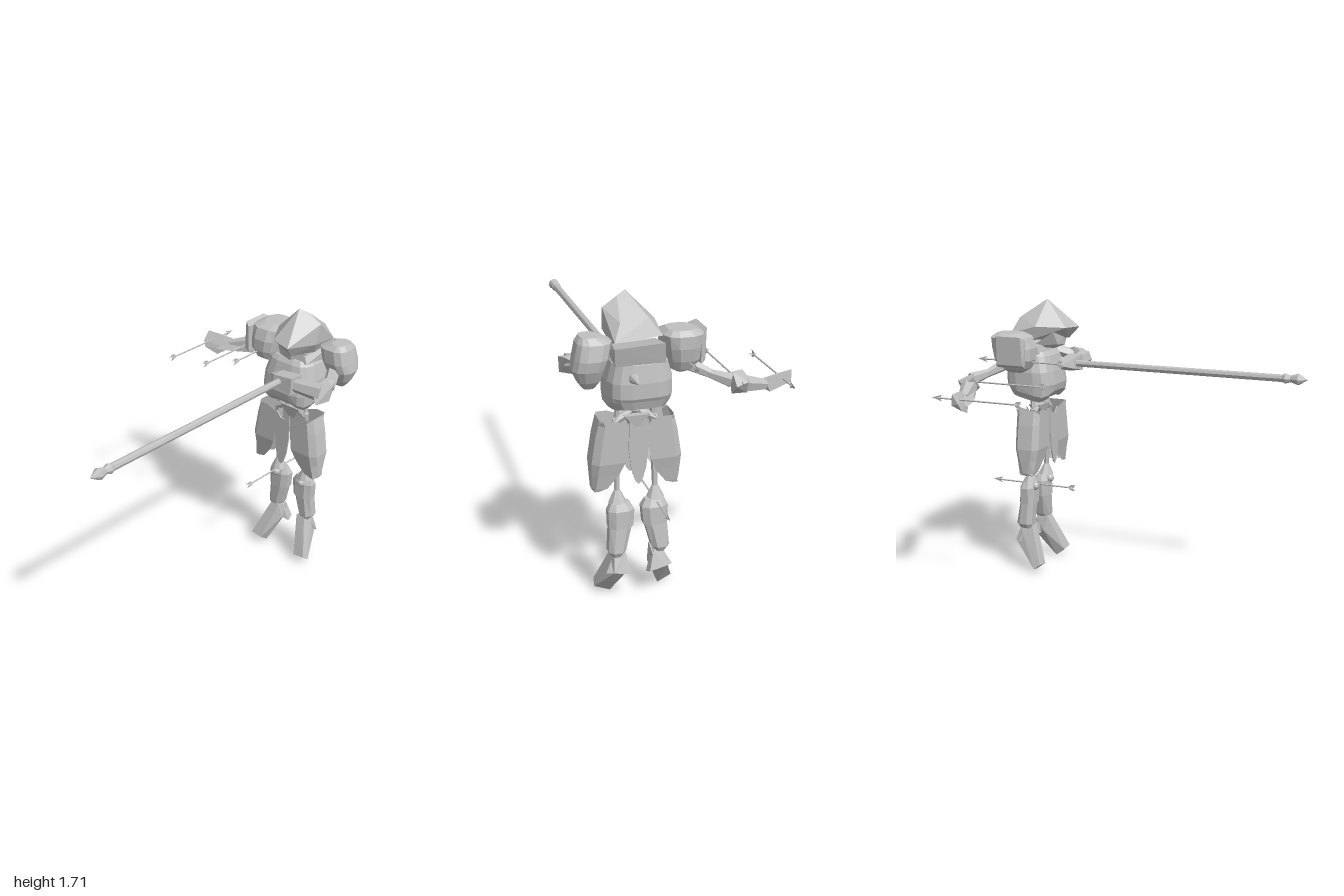
import * as THREE from 'three';
import { ConvexGeometry } from 'three/addons/geometries/ConvexGeometry.js';

const grey = new THREE.MeshStandardMaterial({ color: 0xc0c0c0, flatShading: true, side: THREE.DoubleSide });
grey.name = 'plainGrey';
const V = (p) => new THREE.Vector3(...p);

function add(parent, name, geometry) {
  const mesh = new THREE.Mesh(geometry, grey);
  mesh.name = name;
  parent.add(mesh);
  return mesh;
}
function group(parent, name) {
  const g = new THREE.Group();
  g.name = name;
  parent.add(g);
  return g;
}
const hull = (parent, name, pts) => add(parent, name, new ConvexGeometry(pts.map(V)));

// Tapered rod between two points
function limb(parent, name, a, b, ra, rb, sides = 6) {
  const A = V(a), B = V(b), d = B.clone().sub(A);
  const m = add(parent, name, new THREE.CylinderGeometry(rb, ra, d.length(), sides));
  m.position.copy(A).add(B).multiplyScalar(0.5);
  m.quaternion.setFromUnitVectors(new THREE.Vector3(0, 1, 0), d.normalize());
  return m;
}

// Skin over rings of equal point count
function loft(rings, closed = true) {
  const n = rings[0].length, pos = rings.flat(2), idx = [];
  for (let r = 0; r < rings.length - 1; r++) {
    for (let i = 0; i < (closed ? n : n - 1); i++) {
      const a = r * n + i, b = r * n + (i + 1) % n;
      idx.push(a, a + n, b, b, a + n, b + n);
    }
  }
  if (closed) {
    const e = (rings.length - 1) * n;
    for (let i = 1; i < n - 1; i++) idx.push(0, i, i + 1, e, e + i + 1, e + i);
  }
  const g = new THREE.BufferGeometry();
  g.setAttribute('position', new THREE.Float32BufferAttribute(pos, 3));
  g.setIndex(idx);
  const flat = g.toNonIndexed();
  flat.computeVertexNormals();
  return flat;
}

// Rounded-rectangle ring at height y
function ring([y, x0, x1, z0, z1], n = 12, power = 0.7) {
  const pts = [], f = (v) => Math.sign(v) * Math.abs(v) ** power;
  for (let i = 0; i < n; i++) {
    const t = ((i + 0.5) / n) * Math.PI * 2;
    pts.push([(x0 + x1) / 2 + f(Math.cos(t)) * (x1 - x0) / 2, y, (z0 + z1) / 2 - f(Math.sin(t)) * (z1 - z0) / 2]);
  }
  return pts;
}

function buildLeg(parent, name, s) {
  const leg = group(parent, name);
  leg.position.x = 0.222;
  leg.scale.x = s;
  limb(leg, 'hipStrut', [0.02, 1.07, -0.69], [0.11, 1.02, -0.69], 0.02, 0.025);
  limb(leg, 'thigh', [0.1, 1.04, -0.69], [0.105, 0.63, -0.715], 0.022, 0.015);
  limb(leg, 'kneeFlare', [0.105, 0.64, -0.715], [0.105, 0.57, -0.72], 0.016, 0.05, 8);
  const knee = add(leg, 'kneeJoint', new THREE.IcosahedronGeometry(0.028, 1));
  knee.position.set(0.1, 0.545, -0.69);
  // Wrapped hip guard, open towards the body
  const guard = [[1.05, 0.13, 0.2, 0], [1.025, 0.06, 0.206, 0], [0.96, 0.05, 0.222, 0], [0.81, 0.07, 0.245, 0],
    [0.74, 0.1, 0.243, 0.015], [0.66, 0.16, 0.24, 0.03], [0.645, 0.205, 0.235, 0.035]];
  add(leg, 'hipGuard', loft(guard.map(([y, i, o, t]) => {
    const f = -0.605 - t, b = -0.762 + t, m = o - (o - i) * 0.2;
    return [[i, y, f], [m, y, f], [o, y, f - 0.03], [o, y, b + 0.03], [m, y, b], [i, y, b]];
  }), false));
  // Shin armour
  add(leg, 'kneeCuff', loft([[0.575, 0.04, 0.15, -0.7, -0.765], [0.535, 0.016, 0.17, -0.685, -0.785],
    [0.435, 0.025, 0.166, -0.683, -0.79]].map((r) => ring(r, 8, 0.8))));
  add(leg, 'greave', loft([[0.45, 0.03, 0.163, -0.69, -0.785], [0.3, 0.07, 0.172, -0.695, -0.805],
    [0.27, 0.09, 0.15, -0.7, -0.79]].map((r) => ring(r, 8, 0.8))));
  // Drooping foot and heel
  hull(leg, 'foot', [[0.075, 0.29, -0.7], [0.135, 0.29, -0.7], [0.07, 0.27, -0.78], [0.14, 0.27, -0.78],
    [0.215, 0.06, -0.61], [0.138, 0.05, -0.61], [0.222, 0.03, -0.65], [0.138, 0.005, -0.67],
    [0.08, 0.19, -0.81], [0.15, 0.19, -0.81], [0.06, 0.19, -0.72]]);
  hull(leg, 'heel', [[0.08, 0.28, -0.74], [0.13, 0.28, -0.74], [0.08, 0.28, -0.78], [0.04, 0.15, -0.77],
    [0.05, 0.17, -0.815], [0.185, 0.18, -0.78], [0.14, 0.19, -0.815], [0.1, 0.2, -0.72]]);
}

function buildArrow(parent, x, y) {
  const a = group(parent, 'arrow');
  a.position.set(x, y, 0);
  limb(a, 'arrowShaft', [0, 0, -0.43], [0, 0, -0.95], 0.005, 0.005, 5);
  const head = new THREE.Shape([[-0.99, 0], [-0.92, 0.02], [-0.94, 0], [-0.92, -0.02]].map((p) => new THREE.Vector2(...p)));
  add(a, 'arrowHead', new THREE.ShapeGeometry(head)).rotation.y = -Math.PI / 2;
  const vane = new THREE.Shape([[-0.41, 0.02], [-0.425, 0], [-0.41, -0.02], [-0.44, -0.018], [-0.46, 0], [-0.44, 0.018]]
    .map((p) => new THREE.Vector2(...p)));
  for (const roll of [0, Math.PI / 2]) {
    const f = group(a, 'fletching');
    f.rotation.z = roll;
    add(f, 'vane', new THREE.ShapeGeometry(vane)).rotation.y = -Math.PI / 2;
  }
}

export function createModel() {
  const model = new THREE.Group();
  model.name = 'armouredFigure';

  // Rounded cuirass with a notched lower edge
  const body = [[1.40, 0.09, 0.35, -0.61, -0.84], [1.375, 0.07, 0.37, -0.59, -0.855], [1.28, 0.046, 0.394, -0.563, -0.87],
    [1.2, 0.046, 0.394, -0.55, -0.87], [1.125, 0.052, 0.388, -0.56, -0.86], [1.083, 0.08, 0.36, -0.595, -0.845]];
  add(model, 'cuirass', loft(body.map((r, k) => ring(r, 16, 0.6).map(([x, y, z]) => {
    const w = k > 3 ? 1 : 0;
    const notch = Math.max(0, 1 - Math.abs(x - 0.22) / 0.15) * 0.055;
    return [x, y + w * Math.max(notch, (-0.6 - z) * 0.22), z];
  }))));
  hull(model, 'collar', [[0.09, 1.39, -0.63], [0.35, 1.39, -0.63], [0.1, 1.44, -0.65], [0.33, 1.43, -0.64],
    [0.11, 1.38, -0.86], [0.37, 1.38, -0.86], [0.12, 1.49, -0.885], [0.38, 1.48, -0.885]]);

  // Bowed hood and face
  hull(model, 'hood', [[0.26, 1.71, -0.65], [0.31, 1.69, -0.68], [0.39, 1.64, -0.69], [0.385, 1.52, -0.66],
    [0.2, 1.545, -0.5], [0.33, 1.54, -0.468], [0.11, 1.555, -0.66], [0.115, 1.51, -0.83], [0.37, 1.5, -0.85],
    [0.18, 1.6, -0.8], [0.33, 1.59, -0.81], [0.31, 1.47, -0.53], [0.12, 1.47, -0.7], [0.35, 1.45, -0.7]]);
  hull(model, 'jaw', [[0.17, 1.52, -0.57], [0.31, 1.5, -0.54], [0.21, 1.44, -0.56], [0.29, 1.43, -0.55],
    [0.14, 1.43, -0.7], [0.33, 1.42, -0.7], [0.24, 1.41, -0.6]]);

  // Spine, pelvis and hanging plates
  for (let i = 0; i < 6; i++) {
    const v = add(model, 'vertebra', new THREE.CylinderGeometry(0.03, 0.022, 0.016, 8));
    v.position.set(0.222, 1.03 + i * 0.022, -0.7);
  }
  for (const s of [-1, 1]) limb(model, 'waistStrut', [0.222 + s * 0.09, 1.14, -0.7], [0.222 + s * 0.1, 1.03, -0.69], 0.015, 0.015);
  hull(model, 'pelvis', [[0.15, 1.06, -0.66], [0.29, 1.06, -0.66], [0.15, 1.06, -0.74], [0.29, 1.06, -0.74],
    [0.2, 0.98, -0.68], [0.245, 0.98, -0.68], [0.222, 0.98, -0.73]]);
  const leaf = new THREE.Shape([[-0.05, 1.04], [-0.015, 1.0], [0.015, 1.0], [0.05, 1.04], [0.053, 0.88], [0.04, 0.77],
    [0.018, 0.7], [0, 0.682], [-0.018, 0.7], [-0.04, 0.77], [-0.053, 0.88]].map((p) => new THREE.Vector2(...p)));
  for (const [name, z] of [['frontTasset', -0.606], ['backTasset', -0.768]]) {
    add(model, name, new THREE.ExtrudeGeometry(leaf, { depth: 0.008, bevelEnabled: false })).position.set(0.222, 0, z);
  }

  buildLeg(model, 'rightLeg', -1);
  buildLeg(model, 'leftLeg', 1);

  // Shoulder shells
  add(model, 'rightPauldron', loft([[1.53, -0.06, 0.08, -0.7, -0.85], [1.505, -0.11, 0.11, -0.64, -0.88],
    [1.44, -0.1, 0.1, -0.615, -0.88], [1.37, -0.095, 0.085, -0.615, -0.865], [1.32, -0.07, 0.07, -0.64, -0.84],
    [1.29, -0.02, 0.02, -0.69, -0.78]].map((r) => ring(r))));
  hull(model, 'rightPauldronRim', [[-0.125, 1.52, -0.64], [-0.125, 1.52, -0.8], [-0.12, 1.35, -0.63], [-0.12, 1.35, -0.8],
    [-0.09, 1.5, -0.62], [-0.09, 1.5, -0.83], [-0.09, 1.33, -0.63], [-0.09, 1.33, -0.82]]);
  add(model, 'leftPauldron', loft([[1.53, 0.44, 0.53, -0.71, -0.83], [1.5, 0.37, 0.55, -0.68, -0.865],
    [1.42, 0.39, 0.568, -0.68, -0.88], [1.365, 0.41, 0.578, -0.7, -0.87], [1.3, 0.43, 0.55, -0.73, -0.84],
    [1.26, 0.46, 0.52, -0.76, -0.81]].map((r) => ring(r))));

  // Outstretched right arm
  const right = group(model, 'rightArm');
  limb(right, 'upperArm', [0.0, 1.35, -0.78], [-0.13, 1.295, -0.86], 0.04, 0.025);
  limb(right, 'upperArmFlare', [-0.11, 1.3, -0.85], [-0.22, 1.27, -0.92], 0.022, 0.04);
  hull(right, 'elbowGuard', [[-0.23, 1.31, -0.9], [-0.3, 1.3, -0.86], [-0.33, 1.25, -0.9], [-0.23, 1.25, -0.97],
    [-0.29, 1.27, -0.97], [-0.23, 1.19, -0.9], [-0.3, 1.2, -0.93], [-0.24, 1.23, -0.85]]);
  limb(right, 'forearm', [-0.28, 1.24, -0.9], [-0.43, 1.2, -0.85], 0.05, 0.03);
  hull(right, 'vambrace', [[-0.3, 1.22, -0.85], [-0.24, 1.19, -0.88], [-0.5, 1.17, -0.78], [-0.4, 1.24, -0.86],
    [-0.48, 1.2, -0.86], [-0.4, 1.18, -0.8]]);
  hull(right, 'hand', [[-0.595, 1.255, -0.82], [-0.6, 1.2, -0.78], [-0.58, 1.16, -0.77], [-0.49, 1.13, -0.79],
    [-0.42, 1.18, -0.82], [-0.42, 1.24, -0.86], [-0.5, 1.25, -0.84], [-0.59, 1.19, -0.83], [-0.46, 1.16, -0.86]]);

  // Bent left arm gripping the lance
  const left = group(model, 'leftArm');
  limb(left, 'upperArm', [0.46, 1.38, -0.76], [0.54, 1.32, -0.6], 0.04, 0.035);
  hull(left, 'elbowGuard', [[0.52, 1.38, -0.6], [0.59, 1.36, -0.56], [0.57, 1.37, -0.62], [0.585, 1.27, -0.55],
    [0.55, 1.26, -0.47], [0.5, 1.27, -0.62], [0.54, 1.36, -0.66], [0.5, 1.34, -0.5]]);
  limb(left, 'forearm', [0.54, 1.31, -0.54], [0.37, 1.31, -0.51], 0.055, 0.04);
  hull(left, 'gauntlet', [[0.37, 1.365, -0.47], [0.37, 1.265, -0.465], [0.37, 1.36, -0.56], [0.37, 1.25, -0.55],
    [0.24, 1.35, -0.47], [0.24, 1.29, -0.46], [0.24, 1.35, -0.55], [0.24, 1.28, -0.55], [0.165, 1.315, -0.53]]);

  // Lance running through the torso
  const profile = [[0, -0.97], [0.028, -0.88], [0.02, -0.86], [0.022, 0.84], [0.03, 0.86], [0.02, 0.89], [0.034, 0.935], [0, 0.99]];
  const lance = add(model, 'lance', new THREE.LatheGeometry(profile.map((p) => new THREE.Vector2(...p)), 8));
  lance.rotation.x = Math.PI / 2;
  lance.position.set(0.28, 1.318, 0);

  for (const [x, y] of [[-0.54, 1.215], [-0.26, 1.265], [-0.02, 1.36], [0.12, 0.56]]) buildArrow(model, x, y);
  return model;
}
